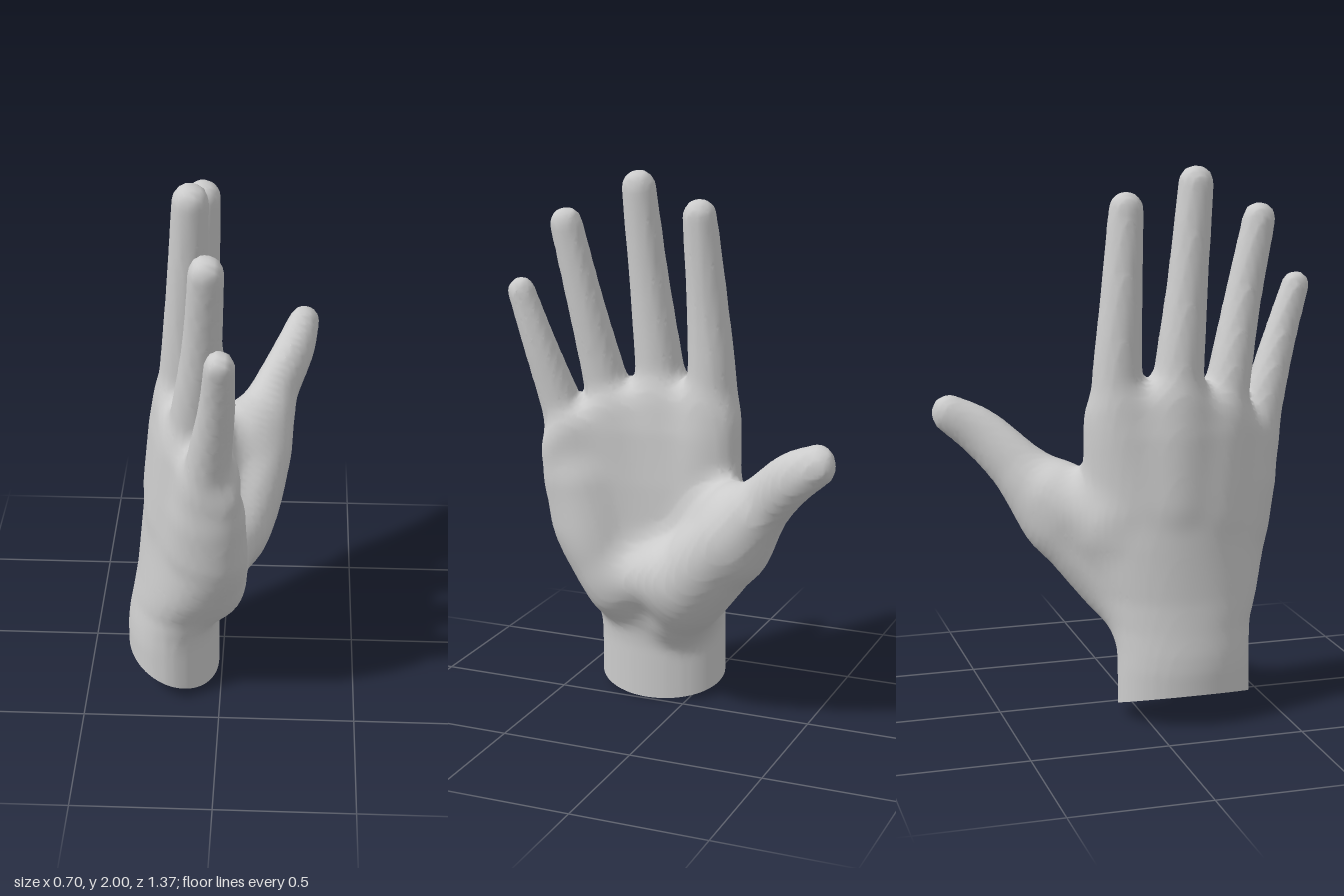
import * as THREE from 'three';

const mat = new THREE.MeshStandardMaterial({ color: 0xcccccc });
const lerp = THREE.MathUtils.lerp;
const ramp = THREE.MathUtils.smoothstep;

// Finger bones: x, y, z, radius from inside the palm to the tip
const FINGERS = [
  [[-.12, .8, -.03, .1], [-.105, 1.05, -.07, .102], [-.1, 1.25, -.075, .09], [-.095, 1.5, -.06, .077], [-.075, 1.848, -.035, .062]],
  [[-.16, .8, .11, .11], [-.14, 1.08, .13, .105], [-.132, 1.28, .148, .09], [-.12, 1.6, .182, .073], [-.105, 1.937, .215, .063]],
  [[-.13, .75, .26, .11], [-.105, 1.02, .305, .1], [-.09, 1.2, .345, .083], [-.058, 1.5, .41, .068], [-.04, 1.8, .478, .06]],
  [[-.07, .7, .4, .09], [-.045, .95, .46, .092], [-.03, 1.12, .505, .077], [-.002, 1.35, .577, .062], [.01, 1.548, .642, .051]],
];
// Thumb digit, the fleshy mounds of the palm and the web beside the thumb
const THUMB = [[.1, .72, -.25, .14], [.175, .885, -.385, .108], [.25, 1.01, -.51, .092], [.285, 1.077, -.613, .072]];
const MOUNDS = [
  [[-.06, .36, .03, .12], [.02, .5, -.05, .16], [.1, .7, -.22, .145], [.15, .82, -.32, .09]],
  [[-.03, .42, .28, .1], [-.015, .6, .36, .11], [-.025, .82, .41, .1]],
  [[-.03, .46, .28, .1], [.02, .52, .05, .12]],
  [[-.08, .72, -.1, .115], [.06, .81, -.24, .1]],
];

// Palm sections: y, centre x, centre z, half thickness, half width
const PALM = [[.2, -.185, .153, .172, .248], [.26, -.179, .153, .172, .249], [.34, -.164, .154, .172, .258],
  [.45, -.148, .165, .17, .292], [.65, -.138, .165, .16, .355], [.85, -.13, .178, .148, .373],
  [1.05, -.125, .19, .13, .374], [1.25, -.12, .2, .09, .37]];

// Smooth a bone path into short tapered segments
function chain(points, n = 14) {
  const path = new THREE.CatmullRomCurve3(points.map(p => new THREE.Vector3(p[0], p[1], p[2])));
  const radii = new THREE.CatmullRomCurve3(points.map((p, i) => new THREE.Vector3(p[3], i, 0)));
  return Array.from({ length: n + 1 }, (_, i) => {
    const p = path.getPoint(i / n);
    return [p.x, p.y, p.z, radii.getPoint(i / n).x];
  });
}

// Distance to a chain of round cones
function chainDistance(c, x, y, z) {
  let best = 9;
  for (let i = 0; i + 1 < c.length; i++) {
    const a = c[i], b = c[i + 1];
    const dx = b[0] - a[0], dy = b[1] - a[1], dz = b[2] - a[2];
    const px = x - a[0], py = y - a[1], pz = z - a[2];
    const len = Math.sqrt(dx * dx + dy * dy + dz * dz);
    const along = (px * dx + py * dy + pz * dz) / len;
    const away = Math.sqrt(Math.max(0, px * px + py * py + pz * pz - along * along));
    const slope = Math.max(-.9, Math.min(.9, (b[3] - a[3]) / len));
    const s = Math.min(len, Math.max(0, along + away * slope / Math.sqrt(1 - slope * slope)));
    const d = Math.sqrt(away * away + (along - s) ** 2) - lerp(a[3], b[3], s / len);
    if (d < best) best = d;
  }
  return best;
}

// Soft union of two distances
function blend(a, b, k) {
  const h = Math.max(k - Math.abs(a - b), 0) / k;
  return Math.min(a, b) - h * h * k / 4;
}

// Wrist and palm: rounded sections arched across the hand, ending below the knuckles
function palmDistance(x, y, z) {
  let i = 0;
  while (i < PALM.length - 2 && y > PALM[i + 1][0]) i++;
  const A = PALM[i], B = PALM[i + 1];
  const t = Math.min(1, Math.max(0, (y - A[0]) / (B[0] - A[0])));
  const [cx, cz, a, b] = [1, 2, 3, 4].map(k => lerp(A[k], B[k], t));
  const r = ramp(y, .22, .65), n = 2 + .4 * r;
  const u = Math.abs(x - cx - .7 * r * (z - .1) ** 2) / a, v = Math.abs(z - cz) / b;
  const k0 = (u ** n + v ** n) ** (1 / n) + 1e-6;
  const g = Math.hypot((u / k0) ** (n - 1) / a, (v / k0) ** (n - 1) / b) + 1e-6;
  const top = y - (1.225 - .95 * (z - .08) ** 2);
  return -blend(-(k0 - 1) / g, -top, .08);
}

// The thumb is flatter across this direction
const flatten = ([x, y, z, r]) => {
  const e = .3 * (.77 * x + .64 * z);
  return [x + .77 * e, y, z + .64 * e, r];
};

const fingers = FINGERS.map(f => chain(f));
const mounds = MOUNDS.map(m => chain(m));
const thumb = chain(THUMB).map(flatten);

function handDistance(x, y, z) {
  let d = 9;
  for (const f of fingers) d = blend(d, chainDistance(f, x, y, z), .04);
  d = blend(d, palmDistance(x, y, z), .06);
  const [tx, ty, tz] = flatten([x, y, z, 0]);
  let flesh = chainDistance(thumb, tx, ty, tz);
  for (const m of mounds) flesh = blend(flesh, chainDistance(m, x, y, z), .07);
  return blend(d, flesh, .08);
}

// Slanted plane that cuts the wrist
const cutHeight = x => -.007 - .353 * x;

// Skin: one vertex per grid cell the surface crosses, quads between neighbours.
// The grid leans with the wrist cut so that its lowest layer is the cut.
function skinGeometry() {
  const s = .02, N = [43, 106, 75], O = [-.42, 0, -.74];
  const stride = [1, N[0], N[0] * N[1]];
  const at = (i, j, k) => i + j * stride[1] + k * stride[2];
  const field = new Float32Array(N[0] * N[1] * N[2]);
  const eachNode = fn => {
    for (let k = 0; k < N[2]; k++) for (let j = 0; j < N[1]; j++) for (let i = 0; i < N[0]; i++) fn(i, j, k);
  };
  eachNode((i, j, k) => {
    const x = O[0] + i * s;
    field[at(i, j, k)] = handDistance(x, j * s + cutHeight(x), O[2] + k * s);
  });

  const cell = new Int32Array(field.length).fill(-1), pos = [], index = [];
  eachNode((i, j, k) => {
    if (i > N[0] - 2 || j > N[1] - 2 || k > N[2] - 2) return;
    const sum = [0, 0, 0];
    let count = 0;
    for (let c = 0; c < 8; c++) for (let d = 0; d < 3; d++) {
      if (c >> d & 1) continue;
      const q = [c & 1, c >> 1 & 1, c >> 2 & 1];
      const n = at(i + q[0], j + q[1], k + q[2]);
      const f0 = field[n], f1 = field[n + stride[d]];
      if (f0 < 0 === f1 < 0) continue;
      q[d] += f0 / (f0 - f1);
      q.forEach((value, e) => { sum[e] += value; });
      count++;
    }
    if (!count) return;
    cell[at(i, j, k)] = pos.length / 3;
    const x = O[0] + (i + sum[0] / count) * s;
    const h = j === 0 ? 0 : (j + sum[1] / count) * s;
    pos.push(x, h + cutHeight(x), O[2] + (k + sum[2] / count) * s);
  });

  eachNode((i, j, k) => {
    const n = at(i, j, k), node = [i, j, k];
    for (let d = 0; d < 3; d++) {
      const e = (d + 1) % 3, f = (d + 2) % 3;
      if (node[d] > N[d] - 2 || !node[e] || !node[f]) continue;
      const inside = field[n] < 0;
      if (inside === field[n + stride[d]] < 0) continue;
      const q = [n - stride[e] - stride[f], n - stride[f], n, n - stride[e]].map(m => cell[m]);
      if (Math.min(...q) < 0) continue;
      if (!inside) q.reverse();
      index.push(q[0], q[1], q[2], q[0], q[2], q[3]);
    }
  });

  const geo = new THREE.BufferGeometry();
  geo.setAttribute('position', new THREE.Float32BufferAttribute(pos, 3));
  geo.setIndex(index);
  geo.computeVertexNormals();
  return geo;
}

// Flat oval closing the wrist
function wristCutGeometry() {
  const [, cx, cz, a, b] = PALM[0];
  const geo = new THREE.CircleGeometry(1, 64), p = geo.attributes.position;
  for (let i = 0; i < p.count; i++) {
    const x = cx + a * p.getX(i);
    p.setXYZ(i, x, cutHeight(x), cz + b * p.getY(i));
  }
  geo.computeVertexNormals();
  return geo;
}

export function createModel() {
  const group = new THREE.Group();
  group.name = 'openHand';
  const add = (name, geo) => {
    const mesh = new THREE.Mesh(geo, mat);
    mesh.name = name;
    group.add(mesh);
  };
  add('handSkin', skinGeometry());
  add('wristCut', wristCutGeometry());
  return group;
}
